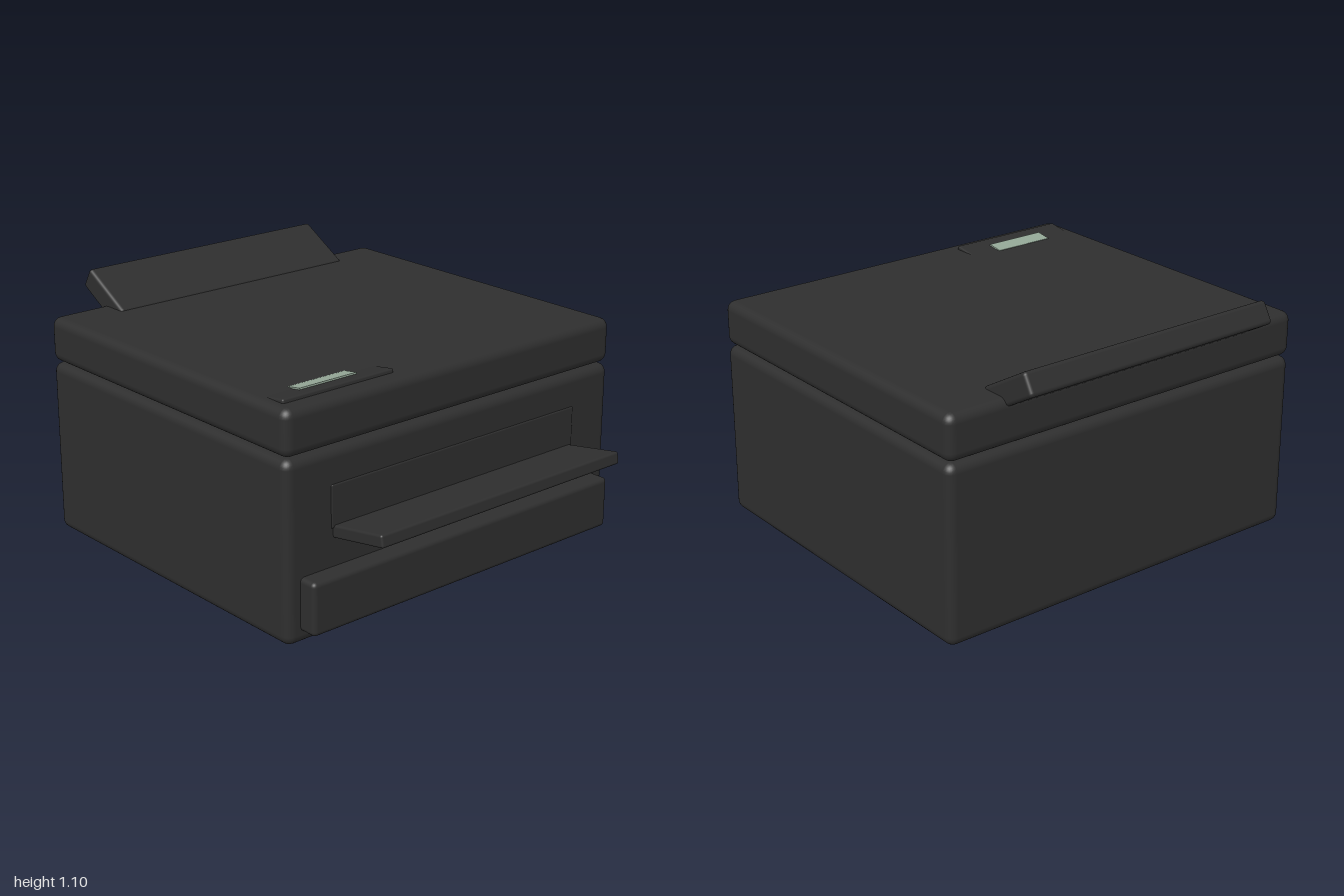
import * as THREE from 'three';
import { RoundedBoxGeometry } from 'three/addons/geometries/RoundedBoxGeometry.js';

export function createModel() {
  const model = new THREE.Group();
  model.name = 'printer';

  const casing = new THREE.MeshStandardMaterial({ color: 0x2e2e2e });
  casing.name = 'charcoal casing';
  const glass = new THREE.MeshStandardMaterial({ color: 0x93a696 });
  glass.name = 'pale green display';

  // Rounded block given by its size, centre, edge radius and tilt about x
  function block(name, size, centre, radius, tilt = 0) {
    const mesh = new THREE.Mesh(new RoundedBoxGeometry(...size, 3, radius), casing);
    mesh.name = name;
    mesh.position.set(...centre);
    mesh.rotation.x = tilt;
    model.add(mesh);
    return mesh;
  }

  // Main body and scanner lid
  block('body', [1.78, 0.765, 1.57], [0, 0.3825, -0.065], 0.04);
  block('scannerLid', [1.78, 0.195, 1.57], [0, 0.8675, -0.065], 0.04);

  // Paper cassette at the bottom of the front
  block('paperCassette', [1.65, 0.225, 0.2], [0, 0.1675, 0.7], 0.02);

  // Paper outlet surround and the raised output tray
  block('outletSurround', [1.34, 0.18, 0.04], [0, 0.53, 0.705], 0.006);
  block('outputTray', [1.32, 0.053, 0.42], [0, 0.437, 0.79], 0.01, -0.17);

  // Rear paper feeder, leaning back
  block('rearFeeder', [1.24, 0.1, 0.28], [0, 0.992, -0.849], 0.016, Math.PI / 6);

  // Control panel sloping down into the lid, with its display
  block('controlPanel', [0.555, 0.04, 0.15], [-0.5625, 0.95, 0.573], 0.008, -0.16);
  const display = new THREE.Mesh(new THREE.BoxGeometry(0.285, 0.009, 0.07), glass);
  display.name = 'display';
  display.position.set(-0.5625, 0.968, 0.545);
  display.rotation.x = -0.16;
  model.add(display);

  return model;
}
